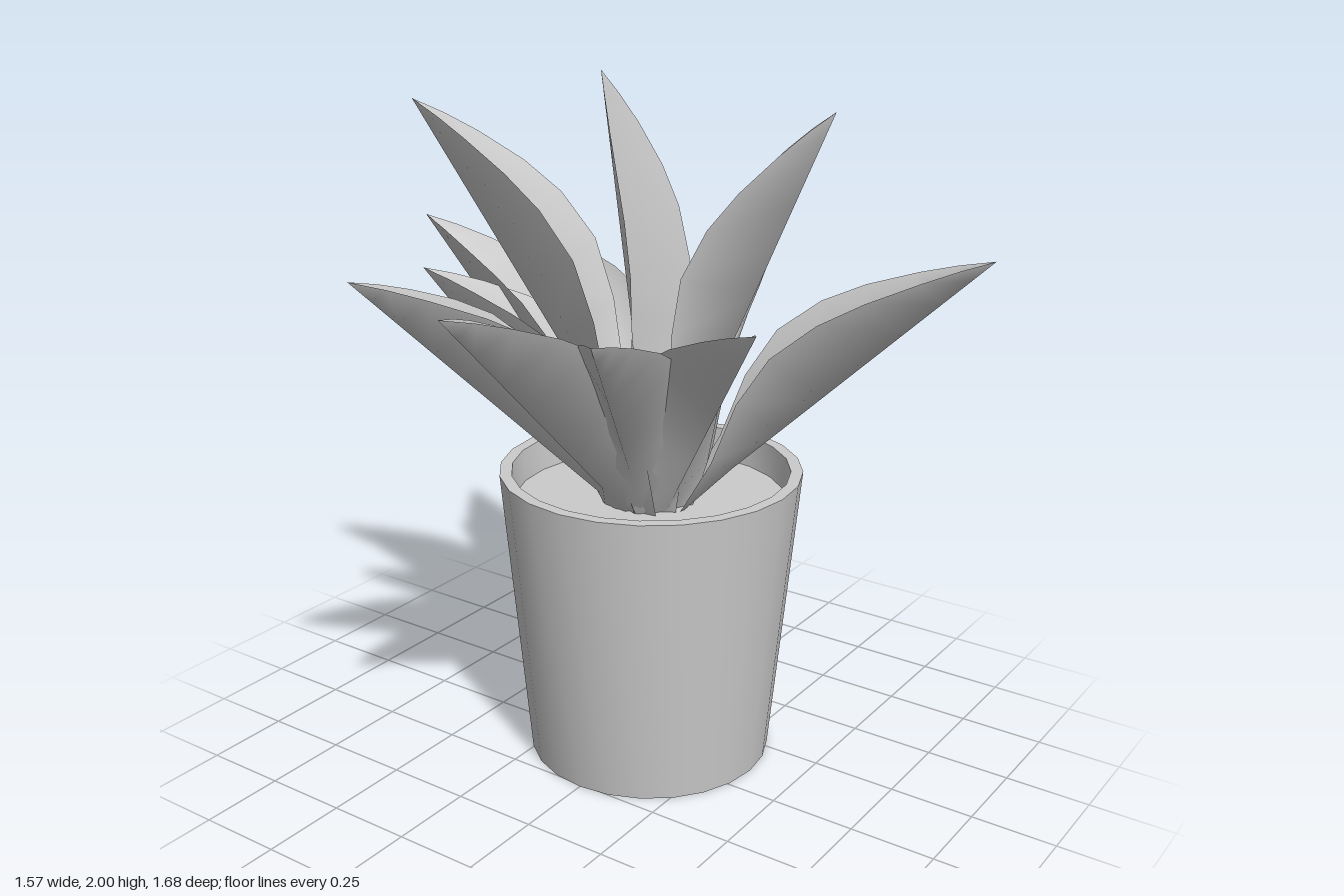
import * as THREE from 'three';
import { toCreasedNormals } from 'three/addons/utils/BufferGeometryUtils.js';

const POT_X = 0.1;
const SOIL_Y = 0.79;

// Leaf cross-sections: [position along keel, half width, height of the margins over the keel]
const SECTIONS = [
  [0, 0.09, 0.01], [0.15, 0.118, 0.075], [0.3, 0.14, 0.165], [0.44, 0.147, 0.208],
  [0.58, 0.134, 0.195], [0.7, 0.11, 0.155], [0.83, 0.07, 0.095], [0.92, 0.035, 0.048], [1, 0, 0],
];

// Keeled leaf: a straight keel from base to tip with two arched margins folded up from it.
// A power below 1 moves the widest part of the leaf towards its tip.
function leafGeometry(tip, axisX, baseRadius, cup, power) {
  const out = new THREE.Vector3(tip.x - axisX, 0, tip.z).normalize();
  const base = new THREE.Vector3(axisX, SOIL_Y - 0.02, 0).addScaledVector(out, baseRadius);
  const along = tip.clone().sub(base).normalize();
  const side = new THREE.Vector3(0, 1, 0).cross(out).normalize();
  const inward = along.clone().cross(side).normalize();

  const positions = [];
  const index = [];
  SECTIONS.forEach(([t, width, rise], row) => {
    const keel = base.clone().lerp(tip, Math.pow(t, power));
    for (const s of [-1, 0, 1]) {
      const p = keel.clone()
        .addScaledVector(side, s * width)
        .addScaledVector(inward, Math.abs(s) * rise * cup);
      positions.push(p.x, p.y, p.z);
    }
    if (row === 0) return;
    for (let c = 0; c < 2; c++) {
      const a = (row - 1) * 3 + c;
      index.push(a, a + 1, a + 4, a, a + 4, a + 3);
    }
  });
  const geometry = new THREE.BufferGeometry();
  geometry.setAttribute('position', new THREE.Float32BufferAttribute(positions, 3));
  geometry.setIndex(index);
  geometry.computeVertexNormals();
  return geometry;
}

export function createModel() {
  const model = new THREE.Group();
  model.name = 'pottedSucculent';
  const potMaterial = new THREE.MeshStandardMaterial({ color: 0xcccccc });
  const leafMaterial = new THREE.MeshStandardMaterial({ color: 0xcccccc, side: THREE.DoubleSide });

  // Tapered pot with a rim
  const profile = [[0, 0], [0.36, 0], [0.44, 0.885], [0.405, 0.885], [0.396, SOIL_Y - 0.02]]
    .map(([r, y]) => new THREE.Vector2(r, y));
  const pot = new THREE.Mesh(toCreasedNormals(new THREE.LatheGeometry(profile, 24), 0.6), potMaterial);
  pot.name = 'pot';
  pot.position.x = POT_X;
  model.add(pot);

  // Soil disc inside the rim
  const soil = new THREE.Mesh(new THREE.CircleGeometry(0.398, 24), potMaterial);
  soil.name = 'soil';
  soil.rotation.x = -Math.PI / 2;
  soil.position.set(POT_X, SOIL_Y, 0);
  model.add(soil);

  const leaves = new THREE.Group();
  leaves.name = 'leaves';
  model.add(leaves);
  // Each row: tip x, y, z, then keel distance from the axis at the soil and cup depth
  const addLeaves = (name, rows, axisX, power) => rows.forEach(([x, y, z, baseRadius, cup], i) => {
    const geometry = leafGeometry(new THREE.Vector3(x, y, z), axisX, baseRadius, cup, power);
    const leaf = new THREE.Mesh(geometry, leafMaterial);
    leaf.name = name + (i + 1);
    leaves.add(leaf);
  });

  // Spreading rosette
  addLeaves('outerLeaf', [
    [-0.79, 1.53, 0, 0.11, 1], [-0.68, 1.54, -0.4, 0.1, 1], [-0.58, 1.46, 0.29, 0.1, 1],
    [-0.27, 1.46, 0.56, 0.1, 1], [0.51, 1.53, 0.84, 0.1, 1], [0.78, 1.46, 0.01, 0.11, 1],
    [0.74, 1.34, -0.84, 0.1, 1], [0.02, 1.55, -0.76, 0.09, 1], [-0.21, 1.46, -0.57, 0.1, 1],
  ], POT_X, 0.95);

  // Upright heart leaves
  addLeaves('innerLeaf', [
    [0.3, 1.92, 0.45, 0.01, 0.9], [-0.15, 1.92, -0.64, 0.01, 1], [0.14, 2, -0.2, 0.02, 0.6],
  ], 0.14, 0.72);
  return model;
}
